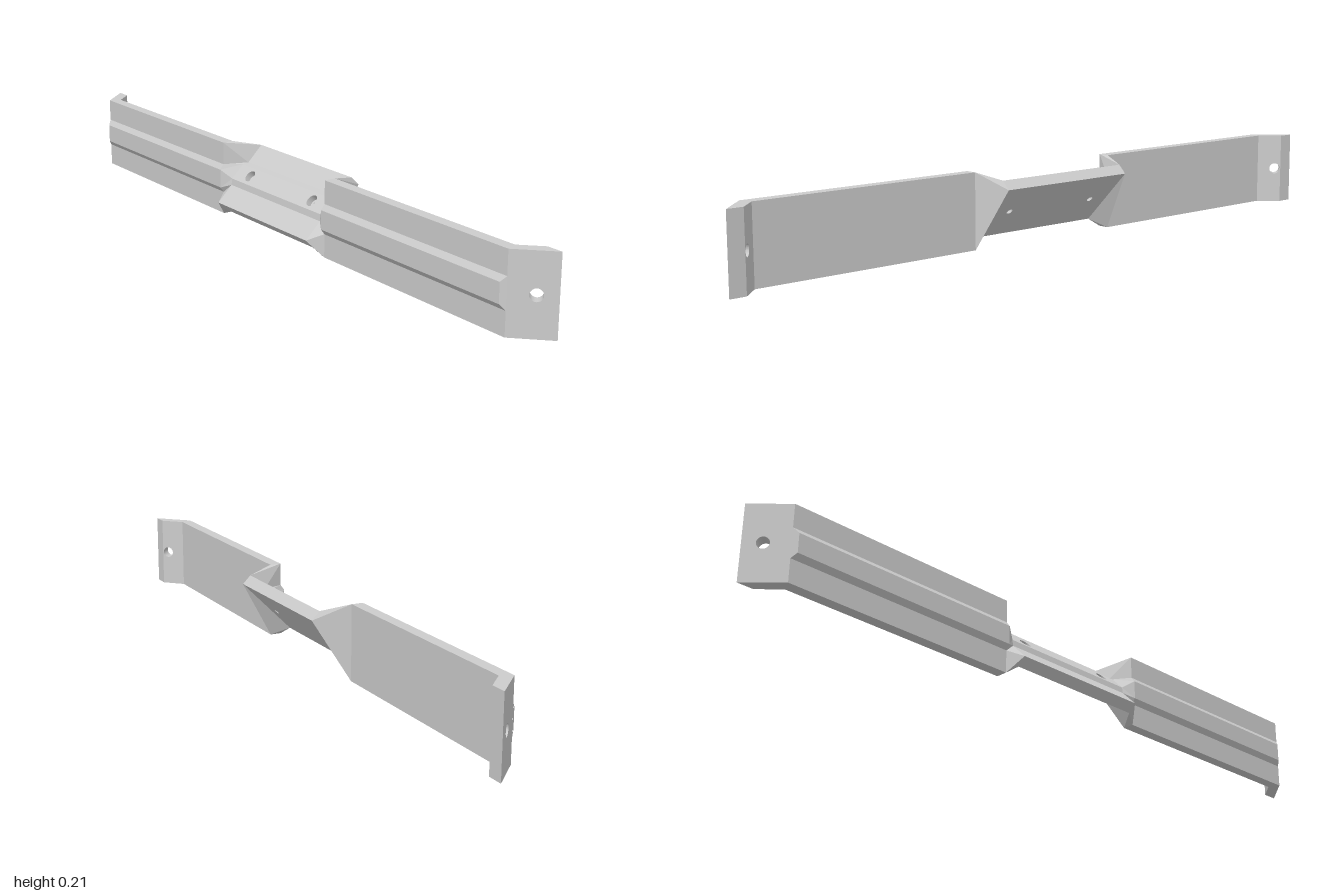
import * as THREE from 'three';

const H = 0.207;                       // strap height
const T = 0.032;                       // strap thickness
const MID = 0.212, ARM = 0.242;        // z where the tilted middle ends and the arms begin
const CENTRE = [-0.031, H / 2], PIVOT = [0, 0.1065], TILT = -Math.PI / 4;
const HOLE_Z = 0.147, HOLE_R = 0.009, BORE_R = 0.017, BORE_DEPTH = 0.018;

// Strap cross-section with its raised rib, counter-clockwise seen from +z
const section = [
  [-0.015, 0], [-0.015, H], [-0.047, H], [-0.047, 0.144],
  [-0.058, 0.1295], [-0.058, 0.0775], [-0.047, 0.063], [-0.047, 0],
];

// Rings along the strap
const armRing = z => section.map(([x, y]) => [x, y, z]);
const midRing = z => section.map(([x, y]) => {
  const a = x - CENTRE[0], b = y - CENTRE[1], c = Math.cos(TILT), s = Math.sin(TILT);
  return [PIVOT[0] + a * c - b * s, PIVOT[1] + a * s + b * c, z];
});
// Mitred end; the rib is cut back flush with the bent tab
const endRing = sign => section.map(([x, y]) => {
  const z = x < -0.05 ? 0.907 : 0.905 + (-0.015 - x) * Math.tan(Math.PI / 8);
  return [x, y, sign * z];
});

// Flat-faceted skin between two rings (r0 at the lower z)
function loft(r0, r1, flip = false, skip = []) {
  const out = [];
  for (let i = 0; i < r0.length; i++) {
    if (skip.includes(i)) continue;
    const j = (i + 1) % r0.length;
    const [a, b, c, d] = [r0[i], r0[j], r1[j], r1[i]];
    out.push(...(flip ? [a, b, d, b, c, d] : [a, b, c, a, c, d]));
  }
  return out;
}

function meshOf(name, points, material) {
  const g = new THREE.BufferGeometry();
  g.setAttribute('position', new THREE.Float32BufferAttribute(points.flat(), 3));
  g.computeVertexNormals();
  const m = new THREE.Mesh(g, material);
  m.name = name;
  return m;
}

function rectangle(x0, x1, y0, y1) {
  return new THREE.Shape([[x0, y0], [x1, y0], [x1, y1], [x0, y1]].map(p => new THREE.Vector2(...p)));
}

function addHole(shape, x, y, r) {
  const path = new THREE.Path();
  path.absarc(x, y, r, 0, Math.PI * 2, true);
  shape.holes.push(path);
}

// Angled end tab with one bolt hole; inner face is shorter than the outer one
function tabGeometry() {
  const length = 0.116;
  const shape = rectangle(0, length, 0, H);
  addHole(shape, 0.0658, H / 2, 0.016);
  const g = new THREE.ExtrudeGeometry(shape, { depth: T, bevelEnabled: false, curveSegments: 16 });
  const p = g.attributes.position;
  for (let i = 0; i < p.count; i++) {
    if (p.getZ(i) > T / 2) continue;
    if (p.getX(i) < 1e-4) p.setX(i, T * Math.tan(Math.PI / 8));
    else if (p.getX(i) > length - 1e-4) p.setX(i, length - T);
  }
  const k = Math.SQRT1_2;
  const m = new THREE.Matrix4().makeBasis(
    new THREE.Vector3(k, 0, k), new THREE.Vector3(0, 1, 0), new THREE.Vector3(-k, 0, k));
  m.setPosition(-0.047 + T * k, 0, 0.918 - T * k);
  g.applyMatrix4(m);
  g.computeVertexNormals();
  return g;
}

export function createModel() {
  const model = new THREE.Group();
  model.name = 'twistedStrap';
  const flat = new THREE.MeshStandardMaterial({ color: 0xcccccc, flatShading: true });
  const bore = new THREE.MeshStandardMaterial({ color: 0xcccccc, side: THREE.DoubleSide });

  // Arms, with the rib ends closed
  for (const sign of [1, -1]) {
    const end = endRing(sign), root = armRing(sign * ARM), mid = midRing(sign * MID);
    const [a, b, c, d] = end.slice(3, 7);
    const cap = sign > 0 ? [a, b, c, a, c, d] : [a, c, b, a, d, c];
    const skin = sign > 0 ? loft(root, end) : loft(end, root);
    model.add(meshOf(sign > 0 ? 'frontArm' : 'backArm', [...skin, ...cap], flat));

    // Short twist joining arm and middle
    const twist = sign > 0 ? loft(mid, root, true) : loft(root, mid);
    model.add(meshOf(sign > 0 ? 'frontTwist' : 'backTwist', twist, flat));

    // End tab
    const tab = new THREE.Mesh(tabGeometry(), flat);
    tab.name = sign > 0 ? 'frontTab' : 'backTab';
    if (sign < 0) {
      tab.rotation.x = Math.PI;
      tab.position.y = H;
    }
    model.add(tab);
  }

  // Tilted middle, leaving out the two drilled faces
  model.add(meshOf('middleSides', loft(midRing(-MID), midRing(MID), false, [0, 4]), flat));

  const drilled = new THREE.Group();
  drilled.name = 'drilledMiddle';
  drilled.position.set(PIVOT[0], PIVOT[1], 0);
  drilled.rotation.z = TILT;
  model.add(drilled);
  const add = (name, geometry, material, x, z = 0) => {
    const m = new THREE.Mesh(geometry, material);
    m.name = name;
    m.position.set(x, 0, z);
    drilled.add(m);
  };
  const innerX = T / 2, ribX = -0.027, floorX = ribX + BORE_DEPTH;

  // Drilled faces: plain inner side and rib top
  const face = (halfHeight, r, turn) => {
    const s = rectangle(-MID, MID, -halfHeight, halfHeight);
    for (const z of [-HOLE_Z, HOLE_Z]) addHole(s, z, 0, r);
    return new THREE.ShapeGeometry(s, 16).rotateY(turn);
  };
  add('innerFace', face(H / 2, HOLE_R, Math.PI / 2), flat, innerX);
  add('ribFace', face(0.026, BORE_R, -Math.PI / 2), flat, ribX);

  // Counterbored bolt holes
  const tube = (r, len) => new THREE.CylinderGeometry(r, r, len, 32, 1, true).rotateZ(Math.PI / 2);
  for (const z of [-HOLE_Z, HOLE_Z]) {
    add('counterbore', tube(BORE_R, BORE_DEPTH), bore, (ribX + floorX) / 2, z);
    add('counterboreFloor', new THREE.RingGeometry(HOLE_R, BORE_R, 32).rotateY(-Math.PI / 2), bore, floorX, z);
    add('boltHole', tube(HOLE_R, innerX - floorX), bore, (innerX + floorX) / 2, z);
  }
  return model;
}
